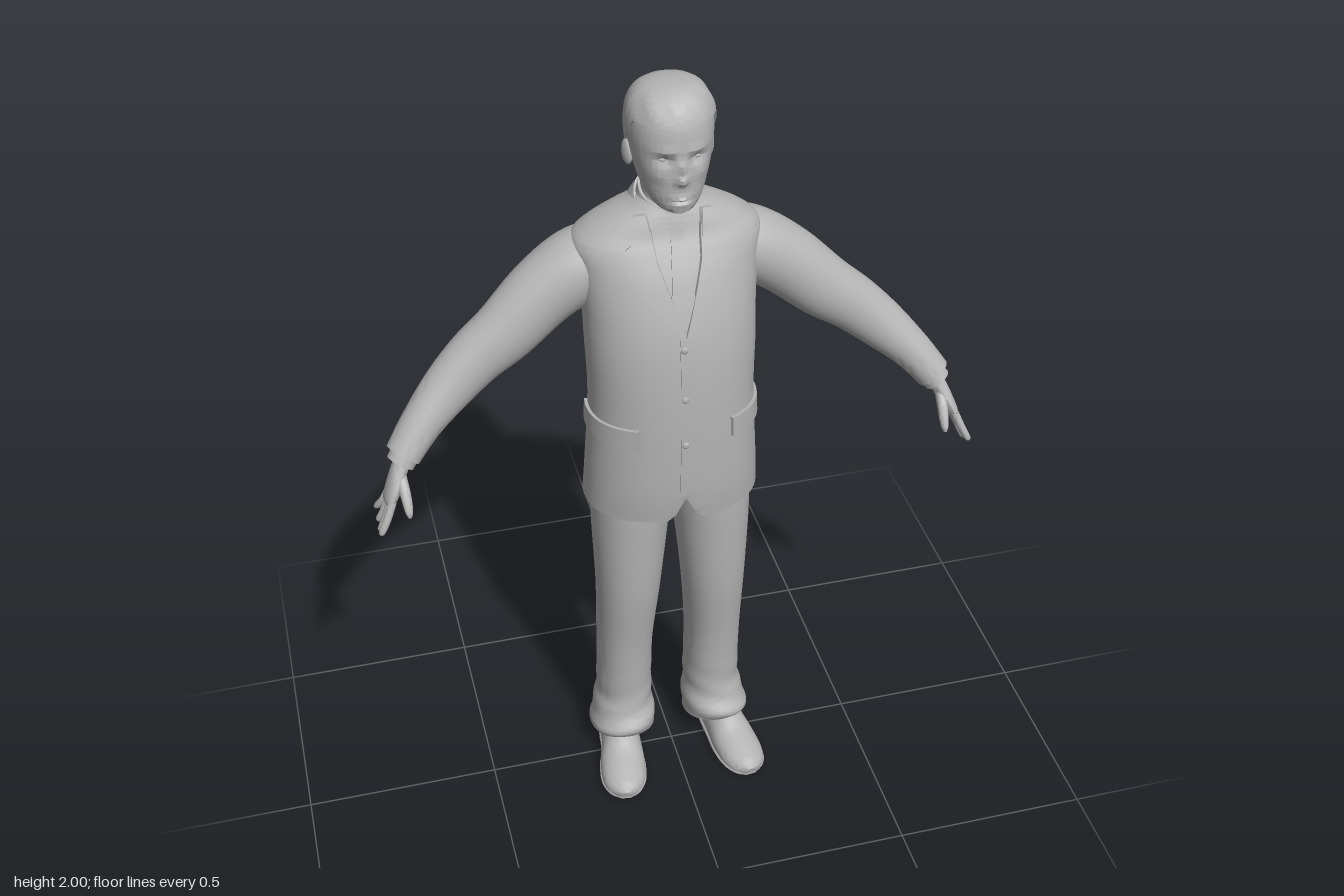
import * as THREE from 'three';
import { toCreasedNormals } from 'three/addons/utils/BufferGeometryUtils.js';

const clay = new THREE.MeshStandardMaterial({ color: 0xb4b4b4, side: THREE.DoubleSide });
clay.name = 'clay grey';
const V = (x, y, z) => new THREE.Vector3(x, y, z);
const Z = V(0, 0, 1), Y = V(0, 1, 0);

// Catmull-Rom interpolation of rows of numbers, t from 0 to 1
function rowAt(rows, t) {
  const f = t * (rows.length - 1), i = Math.min(Math.floor(f), rows.length - 2), u = f - i;
  const g = k => rows[Math.max(0, Math.min(rows.length - 1, k))];
  return rows[0].map((_, c) => {
    const [a, b, d, e] = [g(i - 1)[c], g(i)[c], g(i + 1)[c], g(i + 2)[c]];
    return b + 0.5 * u * (d - a + u * (2 * a - 5 * b + 4 * d - e + u * (3 * (b - d) + e - a)));
  });
}
// interpolated row whose first column is y
function rowAtY(rows, y) {
  let lo = 0, hi = 1;
  for (let i = 0; i < 24; i++) {
    const m = (lo + hi) / 2;
    if (rowAt(rows, m)[0] < y) lo = m; else hi = m;
  }
  return rowAt(rows, lo);
}
// surface through rings of points; closed joins the ends of each ring
function grid(rings, closed = true, crease = 0.8) {
  const n = rings[0].length, idx = [];
  for (let i = 0; i < rings.length - 1; i++) for (let j = 0; j < (closed ? n : n - 1); j++) {
    const a = i * n + j, b = i * n + (j + 1) % n;
    idx.push(a, b, b + n, a, b + n, a + n);
  }
  const geo = new THREE.BufferGeometry().setFromPoints(rings.flat());
  geo.setIndex(idx);
  return toCreasedNormals(geo, crease);
}
const range = (n, fn) => Array.from({ length: n }, (_, i) => fn(i));
const circle = (n, fn) => range(n, j => fn(j / n * Math.PI * 2));
const middle = ring => {
  const c = V(0, 0, 0);
  ring.forEach(p => c.addScaledVector(p, 1 / ring.length));
  return ring.map(() => c.clone());
};
const capped = rings => [middle(rings[0]), ...rings, middle(rings[rings.length - 1])];
// point on a horizontal superellipse
const pw = (v, e) => Math.sign(v) * Math.abs(v) ** (2 / e);
const oval = (a, y, cx, hw, zf, zb, e) =>
  V(cx + hw * pw(Math.sin(a), e), y, (zf + zb) / 2 + (zf - zb) / 2 * pw(Math.cos(a), e));

// elliptical tube; rows are x, y, z, half width, half depth along the hint axis
function sweep(rows, hint = Z, steps = 12, seg = 14) {
  const at = t => V(...rowAt(rows, t));
  return capped(range(steps + 1, i => {
    const t = i / steps, r = rowAt(rows, t);
    const d = at(Math.min(1, t + 0.01)).sub(at(Math.max(0, t - 0.01))).normalize();
    const v = hint.clone().addScaledVector(d, -hint.dot(d)).normalize(), u = d.clone().cross(v);
    return circle(seg, a => at(t).addScaledVector(u, r[3] * Math.sin(a)).addScaledVector(v, r[4] * Math.cos(a)));
  }));
}

// jacket rows: y, half width, front z, back z
const jacketRows = [[0.9, 0.218, 0.14, -0.18], [1.0, 0.212, 0.15, -0.172], [1.2, 0.2, 0.153, -0.165],
  [1.35, 0.203, 0.145, -0.17], [1.45, 0.205, 0.128, -0.178], [1.55, 0.215, 0.095, -0.185],
  [1.61, 0.222, 0.065, -0.175], [1.645, 0.19, 0.045, -0.155], [1.675, 0.14, 0.035, -0.135],
  [1.7, 0.09, 0.025, -0.115], [1.72, 0.065, 0.015, -0.1]];
const E = 2.2;
function onJacket(a, y, off) {
  const [, hw, zf, zb] = rowAtY(jacketRows, y);
  return oval(a, y, 0, hw + off, zf + off, zb - off, E);
}
const angleOf = (x, y) => Math.sign(x) * Math.asin(Math.min(1, Math.abs(x) / rowAtY(jacketRows, y)[1]) ** (E / 2));
function edgePoint(edge, t) {
  const f = t * (edge.length - 1), i = Math.min(Math.floor(f), edge.length - 2);
  return edge[i].map((v, c) => v + (edge[i + 1][c] - v) * (f - i));
}
// thin cloth on the jacket between two edges of [x, y] or [angle, y] points, listed downward
function panel(edgeA, edgeB, off, byAngle = false) {
  const n = 14, m = 8, unit = v => Math.max(0, Math.min(1, v));
  return grid(range(n + 3, i => range(m + 3, j => {
    const t = unit((i - 1) / n), s = unit((j - 1) / m);
    const rim = i === 0 || j === 0 || i === n + 2 || j === m + 2;
    const a = edgePoint(edgeA, t), b = edgePoint(edgeB, t);
    const x = a[0] + (b[0] - a[0]) * s, y = a[1] + (b[1] - a[1]) * s;
    return onJacket(byAngle ? x : angleOf(x, y), y, rim ? -0.002 : off);
  })).reverse(), false, 0.6);
}

// head rows: y, half width, front z, back z
const headRows = [[1.722, 0.025, 0.075, 0.0], [1.735, 0.048, 0.09, -0.03], [1.76, 0.066, 0.095, -0.075],
  [1.8, 0.08, 0.096, -0.104], [1.85, 0.091, 0.096, -0.117], [1.9, 0.095, 0.095, -0.119], [1.94, 0.09, 0.086, -0.112],
  [1.97, 0.074, 0.065, -0.09], [1.987, 0.05, 0.037, -0.062], [1.994, 0.02, 0.005, -0.03]];
// facial relief: x, y, spread x, spread y, height
const relief = [[0, 1.812, 0.013, 0.012, 0.016], [0, 1.84, 0.009, 0.022, 0.012], [0.036, 1.858, 0.018, 0.011, -0.012],
  [0.035, 1.882, 0.026, 0.008, 0.004], [0, 1.766, 0.024, 0.005, 0.007], [0, 1.752, 0.02, 0.005, 0.006],
  [0, 1.759, 0.026, 0.002, -0.005], [0, 1.732, 0.022, 0.01, 0.007], [0.05, 1.82, 0.018, 0.016, 0.004]];
function onHead(a, y, off = 0) {
  const [, hw, zf, zb] = rowAtY(headRows, y);
  const p = oval(a, y, 0, hw + off, zf + off, zb - off, 2.15);
  if (p.z > 0) for (const [x, by, sx, sy, h] of relief) {
    const dx = (Math.abs(p.x) - x) / sx, dy = (y - by) / sy;
    p.z += h * Math.exp(-dx * dx - dy * dy);
  }
  return p;
}

export function createModel() {
  const model = new THREE.Group();
  const add = (name, geo) => {
    const mesh = new THREE.Mesh(geo, clay);
    mesh.name = name;
    model.add(mesh);
  };
  // adds a left part and its reflection, with reversed corner order
  const pair = (name, geo) => {
    add('left' + name, geo);
    const flat = geo.index ? geo.toNonIndexed() : geo, mirror = new THREE.BufferGeometry();
    for (const key of ['position', 'normal']) {
      const a = flat.attributes[key].array, out = [];
      for (let i = a.length - 3; i >= 0; i -= 3) out.push(-a[i], a[i + 1], a[i + 2]);
      mirror.setAttribute(key, new THREE.Float32BufferAttribute(out, 3));
    }
    add('right' + name, mirror);
  };

  // Jacket, with a notch at the front of the hem
  add('jacket', grid(range(61, i => circle(72, a => {
    const [y, hw, zf, zb] = rowAt(jacketRows, i / 60), p = oval(a, y, 0, hw, zf, zb, E);
    if (p.z > 0) p.y = Math.max(y, 0.97 - 2.2 * Math.abs(p.x));
    return p;
  }))));
  const lining = circle(40, a => oval(a, 0.975, 0, 0.208, 0.14, -0.168, E));
  add('jacketLining', grid([middle(lining), lining]));
  add('frontOverlap', panel([[-0.014, 1.44], [-0.016, 0.985]], [[0.006, 1.44], [0, 0.985]], 0.004));
  for (const y of [1.4, 1.27, 1.14])
    add('button', new THREE.SphereGeometry(0.009, 12, 8).scale(1, 1, 0.4).translate(-0.005, y, onJacket(0, y, 0.005).z));
  pair('PocketFlap', panel([[0.55, 1.185], [0.55, 1.13]], [[1.75, 1.175], [1.75, 1.125]], 0.008, true));

  // Shirt front, tie and lapels
  add('shirtFront', panel([[-0.055, 1.685], [-0.045, 1.6], [0, 1.44]], [[0.055, 1.685], [0.045, 1.6], [0, 1.44]], 0.003));
  add('tie', panel([[-0.014, 1.64], [-0.026, 1.52], [0, 1.44]], [[0.014, 1.64], [0.026, 1.52], [0, 1.44]], 0.008));
  add('tieKnot', panel([[-0.022, 1.675], [-0.012, 1.635]], [[0.022, 1.675], [0.012, 1.635]], 0.013));
  pair('Lapel', panel([[0.055, 1.665], [0.05, 1.6], [0, 1.43]], [[0.115, 1.625], [0.115, 1.575], [0.008, 1.43]], 0.009));
  pair('LapelCollar', panel([[0.06, 1.695], [0.055, 1.64]], [[0.085, 1.69], [0.12, 1.635]], 0.011));

  // Shirt and jacket collars, dropping toward the front
  const collar = (hw, d, y, flare, slope) => grid([[0, flare], [0.042, 0], [0.042, -0.006], [0, flare - 0.006]].map(([dy, f]) =>
    circle(48, a => {
      const p = oval(a, y + dy, 0, hw + f, d + f - 0.036, -d - f - 0.036, 2);
      p.y -= (p.z + 0.036) * slope;
      return p;
    })));
  add('shirtCollar', collar(0.066, 0.062, 1.69, 0.01, 0.45));
  add('jacketCollar', collar(0.076, 0.07, 1.67, 0.022, 0.5));

  // Neck, head, eyes and ears
  add('neck', grid([1.66, 1.82].map(y => circle(32, a => oval(a, y, 0, 0.06, 0.025, -0.098, 2)))));
  add('head', grid(capped(range(81, i => circle(96, a => onHead(a, 1.722 + 0.0034 * i)))), true, 1.2));
  pair('Eye', new THREE.SphereGeometry(0.0105, 14, 10).scale(1.25, 0.6, 0.7).translate(0.036, 1.858, onHead(0.4, 1.858).z - 0.004));
  pair('Ear', new THREE.SphereGeometry(0.03, 16, 12).scale(0.32, 1, 0.62).rotateY(-0.35).rotateX(-0.15).translate(0.094, 1.835, -0.022));

  // Hair, with shallow locks
  const hairline = c => (c > 0.3 ? 1.925 + 0.015 * c : 1.785 + 0.14 * ((c + 1) / 1.3) ** 1.6);
  add('hair', grid(capped(range(25, i => circle(72, a => {
    const t = i / 24, low = hairline(Math.cos(a));
    const lock = 0.0015 * Math.sin(a * 9 + t * 4) * Math.sin(t * Math.PI);
    const p = onHead(a, low + (1.992 - low) * t, (i ? 0.006 : 0) + lock);
    p.y += 0.008 * t;
    return p;
  }))).slice(1), true, 1));

  // Sleeves and shirt cuffs
  pair('Sleeve', grid(sweep([[0.12, 1.565, -0.07, 0.07, 0.085], [0.2, 1.535, -0.07, 0.088, 0.09], [0.29, 1.48, -0.06, 0.085, 0.078],
    [0.385, 1.4, -0.042, 0.078, 0.065], [0.46, 1.345, -0.033, 0.07, 0.06], [0.53, 1.285, -0.015, 0.062, 0.055],
    [0.6, 1.22, 0.015, 0.05, 0.048], [0.655, 1.155, 0.043, 0.043, 0.044]], Z, 40, 28)));
  pair('ShirtCuff', grid(sweep([[0.64, 1.17, 0.038, 0.035, 0.036], [0.664, 1.138, 0.05, 0.034, 0.035]], Z, 3, 24)));

  // Hands: palm, four fingers and thumb
  pair('Palm', grid(sweep([[0.652, 1.152, 0.045, 0.02, 0.024], [0.668, 1.125, 0.055, 0.02, 0.028],
    [0.685, 1.09, 0.068, 0.018, 0.037], [0.7, 1.06, 0.08, 0.014, 0.036], [0.705, 1.05, 0.083, 0.008, 0.028]])));
  [0.052, 0.068, 0.074, 0.062].forEach((len, k) => {
    const z = 0.05 + k * 0.019, tip = 0.036 + k * 0.03;
    pair('Finger', grid(sweep([[0.696, 1.07, z, 0.01, 0.01], [0.714, 1.06 - len * 0.5, (z + tip) / 2 + 0.003, 0.0095, 0.0095],
      [0.729, 1.063 - len, tip, 0.008, 0.008], [0.732, 1.057 - len, tip, 0.003, 0.003]])));
  });
  pair('Thumb', grid(sweep([[0.668, 1.115, 0.07, 0.014, 0.014], [0.664, 1.085, 0.105, 0.013, 0.013],
    [0.662, 1.055, 0.13, 0.01, 0.01], [0.662, 1.04, 0.138, 0.004, 0.004]])));

  // Trouser legs with a slanting, creased hem: y, centre x, half width, front z, back z
  const legRows = [[0.07, 0.128, 0.084, 0.06, -0.135], [0.1, 0.13, 0.088, 0.068, -0.142], [0.16, 0.125, 0.078, 0.047, -0.14],
    [0.22, 0.122, 0.073, 0.04, -0.135], [0.4, 0.12, 0.073, 0.055, -0.125], [0.6, 0.113, 0.082, 0.085, -0.115],
    [0.8, 0.106, 0.095, 0.1, -0.13], [0.92, 0.1, 0.1, 0.105, -0.14], [1.0, 0.1, 0.1, 0.1, -0.14]];
  pair('TrouserLeg', grid(range(57, i => circle(40, a => {
    const [y, cx, hw, zf, zb] = rowAt(legRows, i / 56);
    const fold = 0.004 * Math.sin(y * 75 + 2 * Math.sin(a)) * Math.max(0, 1 - y / 0.35);
    const p = oval(a, y, cx, hw + fold, zf + fold, zb - fold, 2.15);
    p.y += (p.z + 0.03) * 0.25 * Math.max(0, 1 - (y - 0.07) / 0.15);
    return p;
  }))));

  // Shoes: z, centre x, half width, height
  const shoeRows = [[-0.128, 0.138, 0.022, 0.07], [-0.115, 0.138, 0.042, 0.09], [-0.05, 0.142, 0.05, 0.11], [0.02, 0.148, 0.053, 0.11],
    [0.08, 0.158, 0.06, 0.08], [0.14, 0.168, 0.057, 0.06], [0.178, 0.173, 0.04, 0.046], [0.193, 0.175, 0.015, 0.03]];
  const shoePart = (name, low, high, shape) => {
    const rings = sweep(shoeRows.map(shape), Y, 32, 28);
    rings.flat().forEach(p => { p.y = Math.max(low, Math.min(high, p.y)); });
    pair(name, grid(rings));
  };
  shoePart('Shoe', 0.01, 1, ([z, x, w, h]) => [x, h * 0.35, z, w, h * 0.65]);
  shoePart('ShoeSole', 0.003, 0.019, ([z, x, w]) => [x, 0.011, z, w * 1.05, 0.016]);
  pair('ShoeHeel', new THREE.CylinderGeometry(0.046, 0.045, 0.02, 24).translate(0.139, 0.01, -0.08));
  return model;
}
